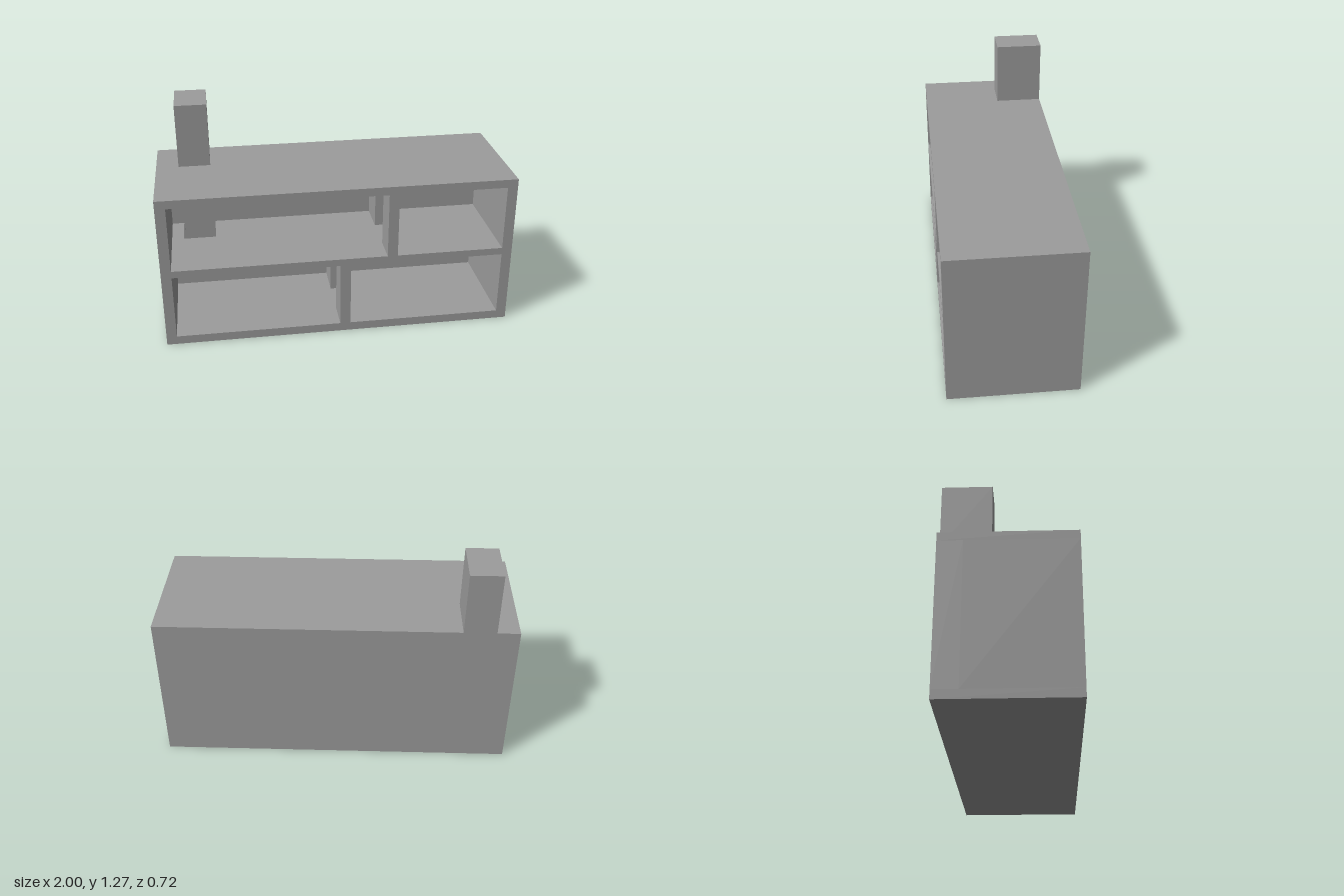
import * as THREE from 'three';

const material = new THREE.MeshStandardMaterial({ color: 0x9c9c9c, flatShading: true });

// Box given by its extents along each axis
function block(name, [x0, x1], [y0, y1], [z0, z1]) {
  const mesh = new THREE.Mesh(new THREE.BoxGeometry(x1 - x0, y1 - y0, z1 - z0), material);
  mesh.name = name;
  mesh.position.set((x0 + x1) / 2, (y0 + y1) / 2, (z0 + z1) / 2);
  return mesh;
}

export function createModel() {
  const house = new THREE.Group();
  house.name = 'openFrontHouse';

  const W = 1, H = 0.905, D = 0.36;       // half width, height, half depth
  const inX = 0.942, inBack = -0.226;     // inner faces of the side and back walls
  const floorTop = 0.05, slabLow = 0.434, slabTop = 0.475, ceiling = 0.857;

  // Outer shell
  house.add(block('groundFloor', [-W, W], [0, floorTop], [-D, D]));
  house.add(block('roof', [-W, W], [ceiling, H], [-D, D]));
  house.add(block('backWall', [-W, W], [floorTop, ceiling], [-D, inBack]));
  for (const s of [-1, 1]) {
    const xs = s < 0 ? [-W, -inX] : [inX, W];
    house.add(block(s < 0 ? 'rightSideWall' : 'leftSideWall', xs, [floorTop, ceiling], [inBack, D]));
  }

  // Upper floor with a notch against the back wall (shape y is -z)
  const plan = new THREE.Shape([
    [-inX, -D], [inX, -D], [inX, -inBack], [-0.685, -inBack],
    [-0.685, 0.02], [-0.87, 0.02], [-0.87, -inBack], [-inX, -inBack],
  ].map(([x, y]) => new THREE.Vector2(x, y)));
  const slab = new THREE.ExtrudeGeometry(plan, { depth: slabTop - slabLow, bevelEnabled: false });
  slab.rotateX(-Math.PI / 2);
  const upperFloor = new THREE.Mesh(slab, material);
  upperFloor.name = 'upperFloor';
  upperFloor.position.y = slabLow;
  house.add(upperFloor);

  // Room dividers, each split by a passage
  const dividers = [
    ['lowerDivider', [0, 0.06], [floorTop, slabLow]],
    ['upperDivider', [0.27, 0.328], [slabTop, ceiling]],
  ];
  for (const [name, xs, ys] of dividers) {
    house.add(block(name + 'Front', xs, ys, [0.197, D]));
    house.add(block(name + 'Back', xs, ys, [inBack, -0.03]));
  }

  // Chimney
  house.add(block('chimney', [-0.873, -0.692], [H, 1.272], [-D, -0.09]));

  return house;
}
